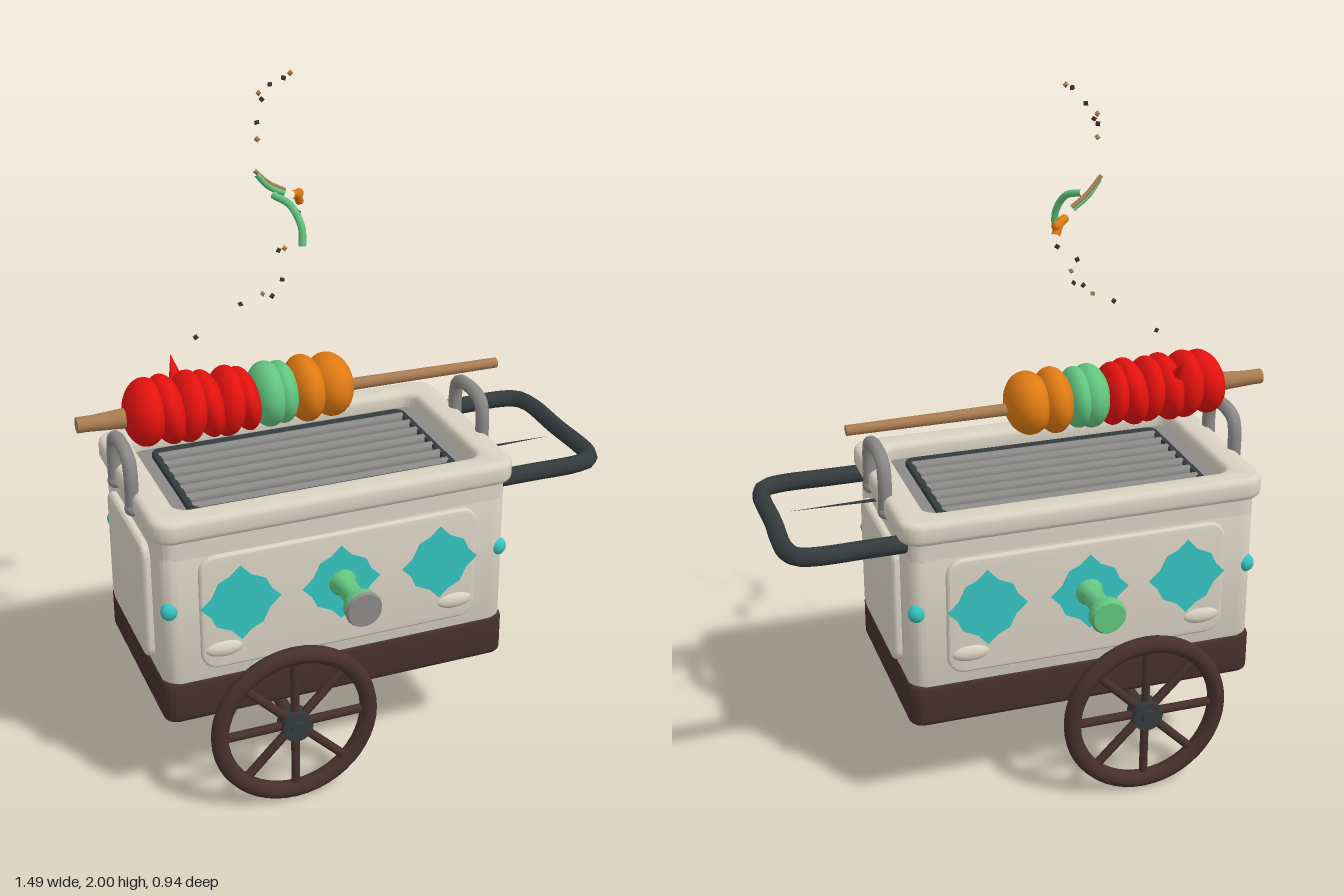
import * as THREE from 'three';
import { toCreasedNormals } from 'three/addons/utils/BufferGeometryUtils.js';

const V = (x, y, z) => new THREE.Vector3(x, y, z);
const mat = (name, color) => new THREE.MeshStandardMaterial({ name, color });

export function createModel() {
  const model = new THREE.Group();
  model.name = 'grillCart';
  const cream = mat('cream', 0xd8d2c2), brown = mat('darkBrown', 0x46302a);
  const slate = mat('slate', 0x343b3d), steel = mat('steel', 0x8b8a88);
  const teal = mat('teal', 0x35c3c0), green = mat('green', 0x62c580);
  const red = mat('red', 0xe3120e), orange = mat('orange', 0xdf7a12), wood = mat('wood', 0xa97c50);
  const CX = -0.105; // middle of the cart body

  const add = (name, geo, material, x = 0, y = 0, z = 0, parent = model) => {
    const m = new THREE.Mesh(geo, material);
    m.name = name;
    m.position.set(x, y, z);
    parent.add(m);
    return m;
  };
  const roundRect = (w, h, r, Type = THREE.Shape) => {
    const s = new Type(), a = w / 2, b = h / 2;
    s.absarc(a - r, b - r, r, 0, Math.PI / 2);
    s.absarc(r - a, b - r, r, Math.PI / 2, Math.PI);
    s.absarc(r - a, r - b, r, Math.PI, Math.PI * 1.5);
    s.absarc(a - r, r - b, r, Math.PI * 1.5, Math.PI * 2);
    s.closePath();
    return s;
  };
  // Rounded plate of a given total thickness, rising from z = 0
  const plate = (w, h, r, thick, bevel, hole) => {
    const s = roundRect(w, h, r);
    if (hole) s.holes.push(roundRect(hole[0], hole[1], hole[2], THREE.Path));
    const g = new THREE.ExtrudeGeometry(s, {
      depth: thick - 2 * bevel, bevelEnabled: bevel > 0, bevelSize: bevel,
      bevelThickness: bevel, bevelOffset: -bevel, bevelSegments: 3, curveSegments: 6,
    });
    g.translate(0, 0, bevel);
    return toCreasedNormals(g, 0.7);
  };
  const slab = (name, material, w, d, r, y0, y1, bevel, hole) =>
    add(name, plate(w, d, r, y1 - y0, bevel, hole).rotateX(-Math.PI / 2), material, CX, y0, 0);
  const tube = (name, pts, r, material, parent) => add(name, new THREE.TubeGeometry(
    new THREE.CatmullRomCurve3(pts, false, 'centripetal'), 40, r, 10), material, 0, 0, 0, parent);
  const ball = (name, material, x, y, z, sx, sy, sz) => {
    const m = add(name, new THREE.SphereGeometry(1, 24, 16), material, x, y, z);
    m.scale.set(sx, sy, sz);
    return m;
  };

  // Body: base, walls, open top and rim
  slab('base', brown, 1.03, 0.6, 0.04, 0.29, 0.42, 0.015);
  slab('body', cream, 1.02, 0.59, 0.045, 0.41, 0.81, 0.004);
  slab('upperWall', cream, 1.02, 0.59, 0.045, 0.80, 0.87, 0, [0.77, 0.4, 0.02]);
  slab('rim', cream, 1.06, 0.63, 0.06, 0.855, 0.922, 0.018, [0.89, 0.47, 0.04]);
  slab('grillLedge', steel, 0.91, 0.49, 0.03, 0.86, 0.875, 0, [0.77, 0.4, 0.02]);
  slab('grillFrame', slate, 0.79, 0.41, 0.03, 0.87, 0.89, 0.004, [0.75, 0.37, 0.02]);

  // Grill bars
  for (let i = 0; i < 7; i++) {
    const bar = add('grillBar', new THREE.CylinderGeometry(0.016, 0.016, 0.76, 10), steel, CX, 0.878, (i - 3) * 0.054);
    bar.rotation.z = Math.PI / 2;
  }

  // Raised panels on all four sides
  for (const s of [1, -1]) {
    const turn = s > 0 ? 0 : Math.PI;
    add('sidePanel', plate(0.82, 0.35, 0.05, 0.02, 0.008), cream, CX, 0.625, s * 0.288).rotation.y = turn;
    add('endPanel', plate(0.38, 0.36, 0.04, 0.03, 0.012), cream, CX + s * 0.503, 0.62, 0).rotation.y = s * Math.PI / 2;
    for (const k of [1, -1]) {
      ball('cornerBoss', cream, CX + k * 0.345, 0.51, s * 0.303, 0.055, 0.025, 0.018);
      ball('cornerDot', teal, CX + k * 0.49, 0.645, s * 0.283, 0.024, 0.026, 0.021);
    }
  }

  // Four-pointed ornaments: one quarter outline turned four times
  const star = new THREE.Shape(), quarter = [[0.115, 0], [0.088, 0.028], [0.072, 0.062], [0.03, 0.082]];
  for (let i = 0; i < 4; i++) {
    const c = Math.round(Math.cos(i * Math.PI / 2)), s = Math.round(Math.sin(i * Math.PI / 2));
    quarter.forEach(([x, y], j) => star[i + j ? 'lineTo' : 'moveTo'](x * c - y * s, x * s + y * c));
  }
  const starGeo = new THREE.ExtrudeGeometry(star, { depth: 0.006, bevelEnabled: false });
  for (const s of [1, -1]) for (const x of [-0.4, -0.108, 0.19]) {
    add('ornament', starGeo, teal, x, 0.645, s * 0.305).rotation.y = s > 0 ? 0 : Math.PI;
  }

  // Side knobs
  const knobProfile = [[0, 0], [0.04, 0], [0.04, 0.02], [0.03, 0.04], [0.029, 0.12], [0.034, 0.135],
    [0.05, 0.142], [0.052, 0.165], [0.045, 0.175], [0, 0.175]].map(p => new THREE.Vector2(...p));
  const knobGeo = toCreasedNormals(new THREE.LatheGeometry(knobProfile, 20), 0.7).rotateX(Math.PI / 2);
  for (const s of [1, -1]) {
    add('knob', knobGeo, green, -0.105, 0.645, s * 0.295).rotation.y = s > 0 ? 0 : Math.PI;
  }
  const cap = add('knobCap', new THREE.CylinderGeometry(0.049, 0.053, 0.009, 20), steel, -0.105, 0.645, 0.468);
  cap.rotation.x = Math.PI / 2;

  // Wheels and axle
  for (const s of [1, -1]) {
    const wheel = new THREE.Group();
    wheel.name = 'wheel';
    wheel.position.set(-0.266, 0.248, s * 0.355);
    model.add(wheel);
    add('tyre', new THREE.TorusGeometry(0.222, 0.025, 12, 48), brown, 0, 0, 0, wheel);
    for (let i = 0; i < 4; i++) {
      add('spoke', new THREE.CylinderGeometry(0.013, 0.013, 0.43, 8), brown, 0, 0, 0, wheel).rotation.z = i * Math.PI / 4;
    }
    add('hub', new THREE.CylinderGeometry(0.045, 0.045, 0.055, 16), slate, 0, 0, 0, wheel).rotation.x = Math.PI / 2;
    add('hubCap', new THREE.CylinderGeometry(0.022, 0.022, 0.074, 12), slate, 0, 0, 0, wheel).rotation.x = Math.PI / 2;
  }
  add('axle', new THREE.CylinderGeometry(0.018, 0.018, 0.7, 12), brown, -0.266, 0.245, 0).rotation.x = Math.PI / 2;

  // Push handle and the thin prong beside it
  tube('pushHandle', [V(0.38, 0.842, 0.245), V(0.5, 0.842, 0.245), V(0.65, 0.842, 0.245), V(0.695, 0.842, 0.23),
    V(0.715, 0.842, 0.185), V(0.715, 0.842, 0), V(0.715, 0.842, -0.185), V(0.695, 0.842, -0.23),
    V(0.65, 0.842, -0.245), V(0.5, 0.842, -0.245), V(0.38, 0.842, -0.245)], 0.026, slate);
  add('prong', new THREE.ConeGeometry(0.005, 0.26, 6), slate, 0.53, 0.842, 0.05).rotation.z = -Math.PI / 2;

  // Skewer rests at both ends
  for (const x of [-0.632, 0.417]) {
    const half = [[0.09, 0.87], [0.09, 0.97], [0.078, 1.005], [0.045, 1.02]];
    tube('skewerRest', [...half.map(([z, y]) => V(x, y, z)), ...half.slice().reverse().map(([z, y]) => V(x, y, -z))], 0.02, steel);
    for (const s of [1, -1]) ball('restFoot', steel, x, 0.87, s * 0.09, 0.022, 0.022, 0.022);
  }

  // Skewer with its pieces
  const stick = add('skewer', new THREE.CylinderGeometry(0.022, 0.015, 1.25, 12), wood, -0.125, 1.093, 0);
  stick.rotation.z = Math.PI / 2 - 0.01;
  add('skewerGrip', new THREE.CylinderGeometry(0.03, 0.02, 0.15, 12), wood, -0.665, 1.098, 0).rotation.z = -Math.PI / 2;
  [[-0.56, 0.06, 0.093], [-0.5, 0.05, 0.097], [-0.44, 0.05, 0.098], [-0.385, 0.045, 0.094], [-0.33, 0.05, 0.097],
    [-0.28, 0.042, 0.09]].forEach(([x, w, r], i) => {
    ball('redPiece', red, x, 1.107 - i * 0.001, 0, w, r, r * 1.12).rotation.z = (i % 2 ? 1 : -1) * 0.12;
  });
  ball('greenPiece', green, -0.21, 1.104, 0, 0.055, 0.092, 0.098);
  ball('greenPiece', green, -0.17, 1.104, 0, 0.045, 0.088, 0.094);
  ball('orangePiece', orange, -0.1, 1.104, 0, 0.055, 0.094, 0.105);
  ball('orangePiece', orange, -0.025, 1.104, 0, 0.066, 0.09, 0.1);
  const stalk = add('redStalk', new THREE.ConeGeometry(0.022, 0.08, 8), red, -0.45, 1.185, -0.09);
  stalk.rotation.x = -0.7;

  // Shreds floating above
  tube('greenShred', [V(-0.195, 1.688, 0.04), V(-0.165, 1.67, 0.09), V(-0.147, 1.62, 0.12), V(-0.148, 1.57, 0.13)], 0.01, green);
  tube('greenShred', [V(-0.225, 1.735, -0.01), V(-0.19, 1.695, -0.02), V(-0.14, 1.665, -0.035)], 0.008, green);
  tube('woodShred', [V(-0.23, 1.745, -0.012), V(-0.185, 1.702, -0.025), V(-0.135, 1.672, -0.04)], 0.006, wood);
  tube('orangeShred', [V(-0.11, 1.65, -0.06), V(-0.085, 1.64, -0.085), V(-0.07, 1.615, -0.1)], 0.012, orange);
  ball('orangeShred', orange, -0.073, 1.64, -0.095, 0.012, 0.014, 0.012);

  // Rising specks
  const specks = [[-0.13, 1.995, 0], [-0.15, 1.985, 0.005], [-0.165, 1.955, -0.06], [-0.19, 1.93, -0.08], [-0.185, 1.915, -0.07],
    [-0.23, 1.88, 0.02], [-0.235, 1.84, 0.035], [-0.075, 1.585, -0.1], [-0.165, 1.515, -0.01], [-0.13, 1.5, -0.06],
    [-0.165, 1.44, 0.015], [-0.21, 1.415, 0.06], [-0.22, 1.405, 0.01], [-0.28, 1.38, 0], [-0.4, 1.29, -0.03]];
  const speckGeo = new THREE.OctahedronGeometry(0.009);
  specks.forEach(([x, y, z], i) => add('speck', speckGeo, i % 3 ? brown : wood, x, y, z).rotation.set(i, i * 2, 0));
  return model;
}
